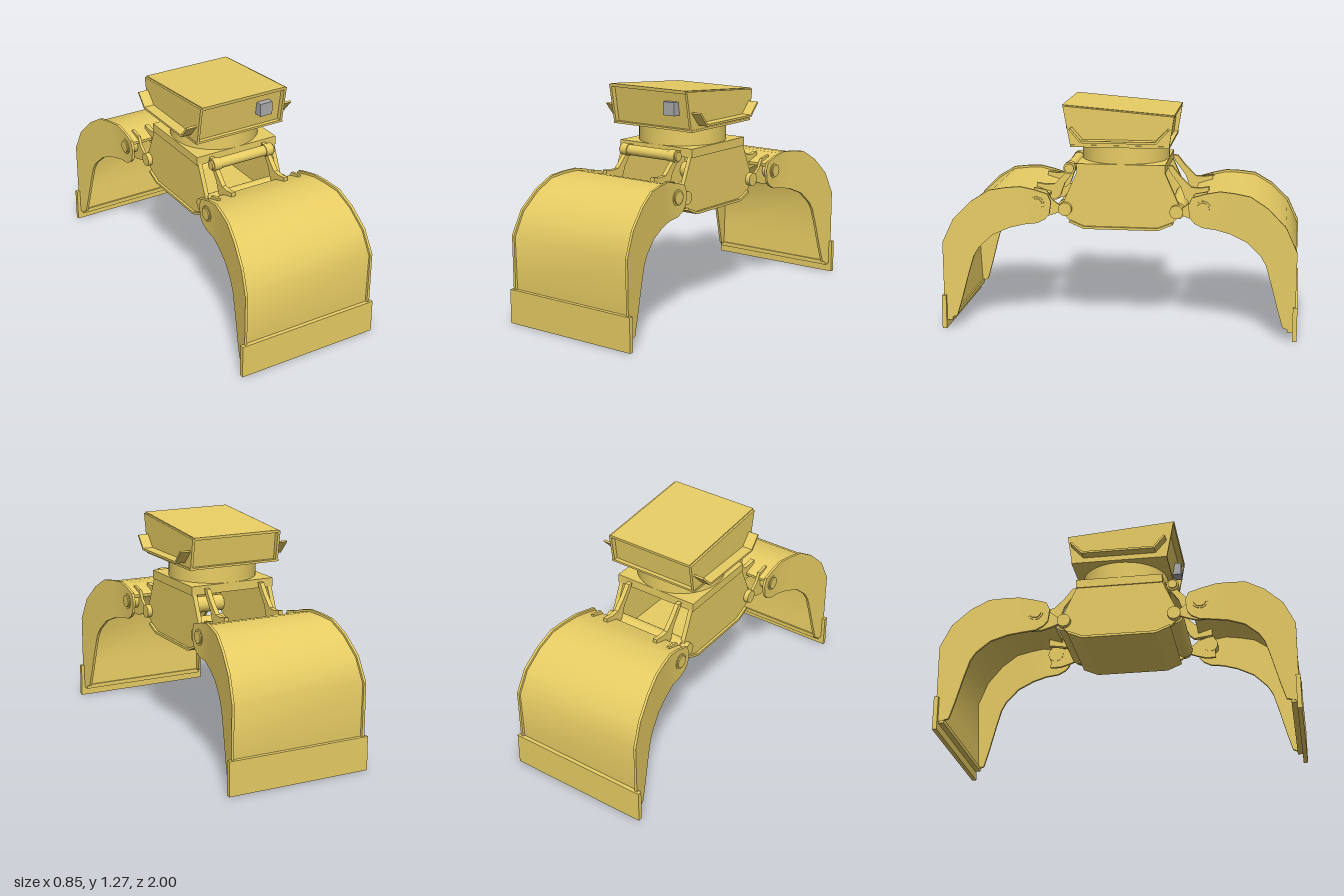
import * as THREE from 'three';
import { toCreasedNormals } from 'three/addons/utils/BufferGeometryUtils.js';

const paint = new THREE.MeshStandardMaterial({ color: 0xe8cd64 });
const grey = new THREE.MeshStandardMaterial({ color: 0xaaaaaa });

function add(parent, name, geometry, material = paint) {
  const mesh = new THREE.Mesh(geometry, material);
  mesh.name = name;
  parent.add(mesh);
  return mesh;
}

// Box given by its limits
function box(x0, x1, y0, y1, z0, z1) {
  return new THREE.BoxGeometry(x1 - x0, y1 - y0, z1 - z0)
    .translate((x0 + x1) / 2, (y0 + y1) / 2, (z0 + z1) / 2);
}

// Plate with a (z, y) outline, spanning x0 to x1
function plate(outline, x0, x1) {
  const shape = new THREE.Shape(outline.map(([z, y]) => new THREE.Vector2(z, y)));
  return new THREE.ExtrudeGeometry(shape, { depth: x1 - x0, bevelEnabled: false })
    .rotateY(-Math.PI / 2).translate(x1, 0, 0);
}

// Round bar along x
function pin(z, y, r, x0, x1, sides = 24) {
  return new THREE.CylinderGeometry(r, r, x1 - x0, sides)
    .rotateZ(Math.PI / 2).translate((x0 + x1) / 2, y, z);
}

// Limits of an x range mirrored to side s
const span = (s, a, b) => (s > 0 ? [a, b] : [-b, -a]);

// Closed solid through four-cornered cross-sections
function loft(sections, crease) {
  const index = [];
  const quad = (a, b, c, d) => index.push(a, b, c, a, c, d);
  const last = (sections.length - 1) * 4;
  for (let i = 0; i < last; i += 4) {
    for (let j = 0; j < 4; j++) {
      const k = (j + 1) % 4;
      quad(i + j, i + k, i + 4 + k, i + 4 + j);
    }
  }
  quad(3, 2, 1, 0);
  quad(last, last + 1, last + 2, last + 3);
  const points = sections.flat();
  // Turn the faces outward if the enclosed volume is negative
  const v = (i) => new THREE.Vector3(...points[i]);
  let volume = 0;
  for (let i = 0; i < index.length; i += 3) {
    volume += v(index[i]).dot(v(index[i + 1]).cross(v(index[i + 2])));
  }
  if (volume < 0) index.reverse();
  const geometry = new THREE.BufferGeometry();
  geometry.setAttribute('position', new THREE.Float32BufferAttribute(points.flat(), 3));
  geometry.setIndex(index);
  return toCreasedNormals(geometry, crease);
}

// Shell cross-sections: outer z, y and inner z, y
const RIBS = [
  [0.385, 0.73, 0.395, 0.66], [0.405, 0.775, 0.42, 0.63], [0.48, 0.798, 0.465, 0.607],
  [0.56, 0.815, 0.54, 0.598], [0.64, 0.81, 0.62, 0.58], [0.73, 0.797, 0.715, 0.54],
  [0.83, 0.735, 0.79, 0.47], [0.93, 0.635, 0.82, 0.42], [0.992, 0.5, 0.85, 0.32],
  [0.99, 0.2, 0.89, 0.17], [0.982, 0.05, 0.92, 0.07],
];
const halfWidth = (z) => 0.325 + 0.085 * Math.max(0, (z - 0.53) / 0.47);

function clamShell(name) {
  const shell = new THREE.Group();
  shell.name = name;

  // Curved skin, set slightly below the rims of the side plates
  const skin = RIBS.slice(1).map(([zo, yo, zi, yi]) => {
    const len = Math.hypot(zi - zo, yi - yo);
    const at = (d) => [zo + (zi - zo) * d / len, yo + (yi - yo) * d / len];
    const [z1, y1] = at(0.013);
    const [z2, y2] = at(0.03);
    const w = halfWidth(zo) - 0.008;
    return [[w, y1, z1], [-w, y1, z1], [-w, y2, z2], [w, y2, z2]];
  });
  add(shell, 'shellSkin', loft(skin, 0.75));
  add(shell, 'cuttingEdge', box(-0.425, 0.425, 0, 0.193, 0.975, 1));
  add(shell, 'lowerLip', box(-0.4, 0.4, 0.045, 0.07, 0.945, 0.98));
  add(shell, 'pivotTube', pin(0.315, 0.68, 0.048, -0.235, 0.235));

  for (const s of [1, -1]) {
    // Side plate that flares towards the cutting edge
    const side = RIBS.map(([zo, yo, zi, yi]) => {
      const o = halfWidth(zo);
      const i = halfWidth(zi);
      return [[s * o, yo, zo], [s * (o - 0.015), yo, zo],
        [s * (i - 0.015), yi, zi], [s * i, yi, zi]];
    });
    add(shell, 'shellSide', loft(side, 0.3));
    add(shell, 'shellBoss', pin(0.468, 0.715, 0.045, ...span(s, 0.25, 0.33)));
    add(shell, 'shellBossCap', pin(0.468, 0.715, 0.035, ...span(s, 0.33, 0.337)));

    // Hinge ear reaching from the shell to the body pivot
    add(shell, 'hingeEar', plate([
      [0.3, 0.65], [0.345, 0.662], [0.39, 0.645], [0.44, 0.63], [0.5, 0.63], [0.49, 0.8],
      [0.42, 0.787], [0.39, 0.735], [0.345, 0.7], [0.3, 0.71],
    ], ...span(s, 0.253, 0.269)));
    add(shell, 'pivotBoss', pin(0.315, 0.68, 0.038, ...span(s, 0.22, 0.278)));

    // Upper link
    add(shell, 'link', plate([
      [0.255, 0.925], [0.283, 0.925], [0.33, 0.865], [0.39, 0.805], [0.44, 0.802],
      [0.49, 0.81], [0.49, 0.73], [0.385, 0.715], [0.355, 0.74], [0.33, 0.81], [0.27, 0.89],
    ], ...span(s, 0.157, 0.183)));
  }
  return shell;
}

function body() {
  const group = new THREE.Group();
  group.name = 'body';
  add(group, 'bodyTopPlate', box(-0.257, 0.257, 0.89, 0.94, -0.25, 0.25));
  for (const s of [1, -1]) {
    add(group, 'bodySide', plate([
      [0.25, 0.89], [0.325, 0.72], [0.345, 0.68], [0.33, 0.65], [0.29, 0.61], [0.21, 0.575],
      [-0.21, 0.575], [-0.29, 0.61], [-0.33, 0.65], [-0.345, 0.68], [-0.325, 0.72], [-0.25, 0.89],
    ], ...span(s, 0.225, 0.25)));
  }
  // Floor with upturned ends
  add(group, 'bodyFloor', plate([
    [-0.295, 0.603], [-0.21, 0.567], [0.21, 0.567], [0.295, 0.603],
    [0.29, 0.615], [0.208, 0.581], [-0.208, 0.581], [-0.29, 0.615],
  ], -0.265, 0.265));
  // Cross bar at the front links
  add(group, 'crossBar', pin(0.3, 0.9, 0.03, -0.19, 0.19));
  for (const s of [1, -1]) {
    add(group, 'crossBarCollar', pin(0.3, 0.9, 0.035, ...span(s, 0.145, 0.193)));
    add(group, 'crossBarCap', pin(0.3, 0.9, 0.026, ...span(s, 0.19, 0.203)));
  }
  return group;
}

function head() {
  const group = new THREE.Group();
  group.name = 'head';
  add(group, 'turntable', new THREE.CylinderGeometry(0.25, 0.25, 0.11, 48).translate(0, 0.99, 0));
  add(group, 'headFloor', box(-0.28, 0.28, 1.038, 1.05, -0.275, 0.28));
  // Core set back behind the side plates and roof
  add(group, 'headCore', plate([
    [0.255, 1.045], [0.29, 1.255], [-0.27, 1.21], [-0.25, 1.045],
  ], -0.262, 0.262));
  add(group, 'headRoof', plate([
    [0.325, 1.272], [-0.3, 1.222], [-0.299, 1.207], [0.322, 1.253],
  ], -0.264, 0.264));
  for (const s of [1, -1]) {
    add(group, 'headSide', plate([
      [0.28, 1.04], [0.322, 1.266], [-0.3, 1.216], [-0.272, 1.04],
    ], ...span(s, 0.261, 0.276)));
    // Bent guard strip
    add(group, 'sideGuard', plate([
      [0.28, 1.145], [0.215, 1.07], [-0.205, 1.07], [-0.275, 1.145],
      [-0.265, 1.151], [-0.2, 1.082], [0.21, 1.082], [0.27, 1.151],
    ], ...span(s, 0.27, 0.336)));
  }
  add(group, 'controlBox', box(0.107, 0.185, 1.125, 1.2, 0.255, 0.318), grey);
  return group;
}

export function createModel() {
  const model = new THREE.Group();
  model.name = 'clamshellGrab';
  const back = clamShell('backShell');
  back.rotation.y = Math.PI;
  model.add(head(), body(), clamShell('frontShell'), back);
  return model;
}
